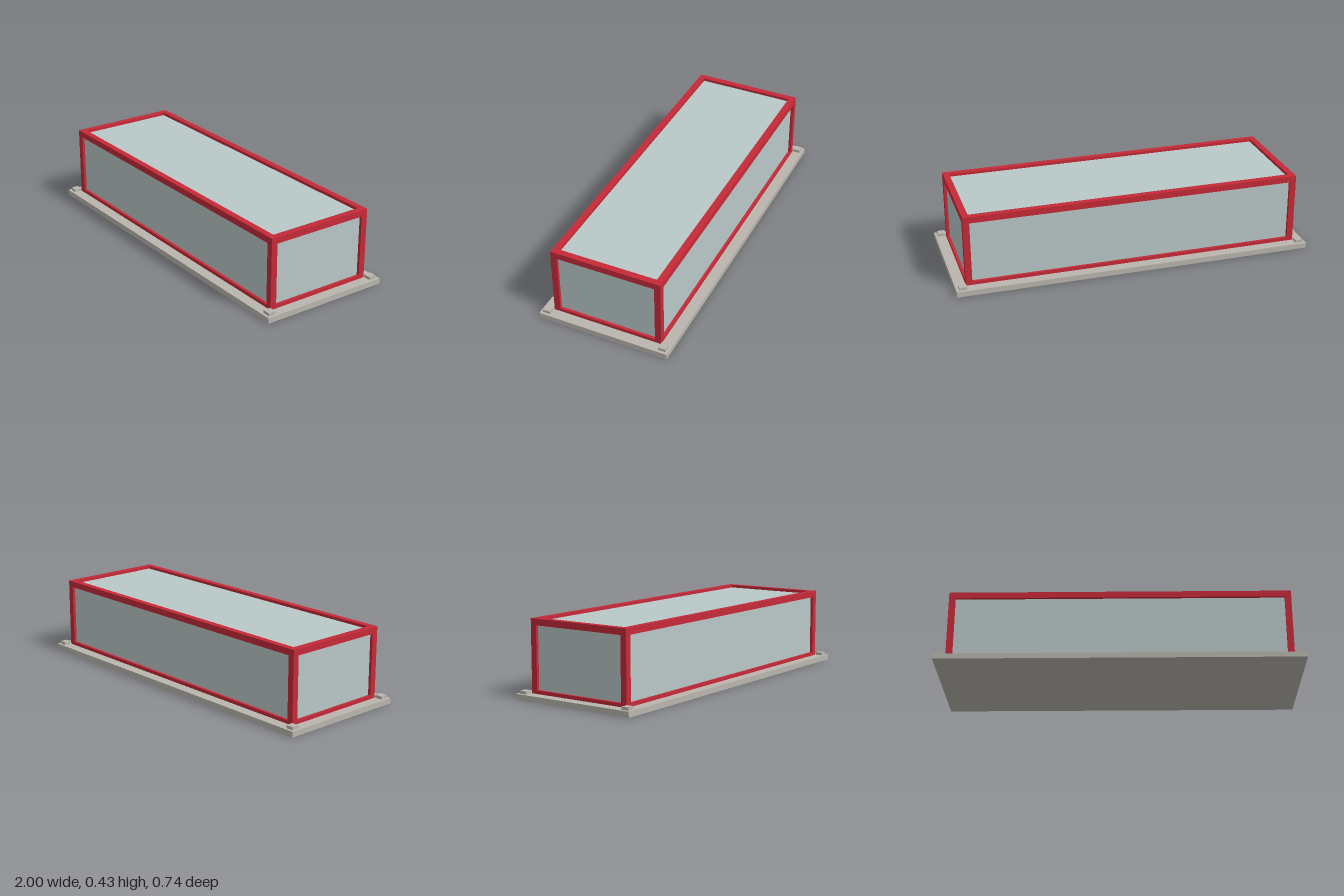
import * as THREE from 'three';

export function createModel() {
  const model = new THREE.Group();
  model.name = 'glazedCase';

  const red = new THREE.MeshStandardMaterial({ color: 0xc62a38 });
  red.name = 'frame red';
  const glass = new THREE.MeshStandardMaterial({ color: 0xbac8c8 });
  glass.name = 'pale glass';
  const stone = new THREE.MeshStandardMaterial({ color: 0xbab6ae });
  stone.name = 'base grey';

  // Box given by its size, centre x and z, and bottom y
  function box(name, material, [w, h, d], x, y, z) {
    const mesh = new THREE.Mesh(new THREE.BoxGeometry(w, h, d), material);
    mesh.name = name;
    mesh.position.set(x, y + h / 2, z);
    model.add(mesh);
  }

  const X = 0.94, Z = 0.312;          // outer half sizes of the frame
  const floor = 0.031, top = 0.427;   // frame bottom and top
  const bar = 0.035, sill = 0.019;    // bar width and bottom rail height
  const recess = 0.016;               // depth of the panes behind the frame

  // Base slab
  box('baseSlab', stone, [2, floor, 0.744], 0, 0, 0);

  // Panes, set back inside the frame
  box('glassPanes', glass,
    [2 * (X - recess), top - recess - floor, 2 * (Z - recess)], 0, floor, 0);

  for (const sx of [-1, 1]) {
    // Short rails at both ends
    const rail = 2 * (Z - bar);
    box('endTopRail', red, [bar, bar, rail], sx * (X - bar / 2), top - bar, 0);
    box('endBottomRail', red, [bar, sill, rail], sx * (X - bar / 2), floor, 0);

    // Corner posts and the small pads outside them
    for (const sz of [-1, 1]) {
      box('cornerPost', red, [bar, top - floor, bar],
        sx * (X - bar / 2), floor, sz * (Z - bar / 2));
      box('cornerPad', stone, [0.042, 0.016, 0.042], sx * 0.963, floor, sz * 0.336);
    }
  }

  // Long rails at front and back
  for (const sz of [-1, 1]) {
    const rail = 2 * (X - bar);
    box('longTopRail', red, [rail, bar, bar], 0, top - bar, sz * (Z - bar / 2));
    box('longBottomRail', red, [rail, sill, bar], 0, floor, sz * (Z - bar / 2));
  }

  return model;
}
